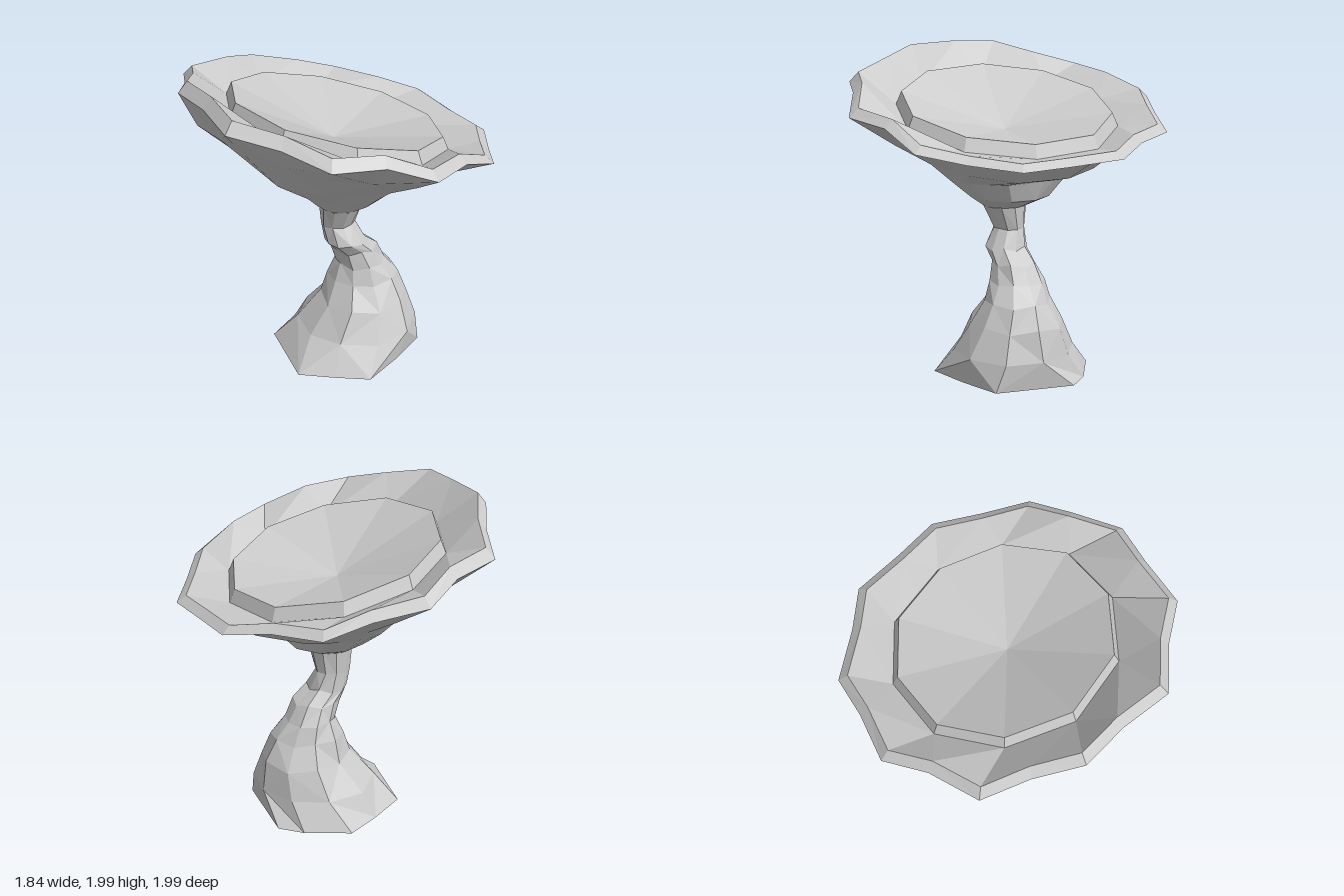
import * as THREE from 'three';

const V = (x, y, z) => new THREE.Vector3(x, y, z);

// Skin a list of equally long rings; each ring runs clockwise seen from above.
function loft(rings, name) {
  const n = rings[0].length, pos = [];
  const tri = (...p) => p.forEach(v => pos.push(v.x, v.y, v.z));
  for (let r = 0; r < rings.length - 1; r++) {
    const a = rings[r], b = rings[r + 1];
    for (let i = 0; i < n; i++) {
      const j = (i + 1) % n;
      if ((i + r) % 2) {
        tri(a[i], b[i], b[j]);
        tri(a[i], b[j], a[j]);
      } else {
        tri(a[i], b[i], a[j]);
        tri(a[j], b[i], b[j]);
      }
    }
  }
  const g = new THREE.BufferGeometry();
  g.setAttribute('position', new THREE.Float32BufferAttribute(pos, 3));
  g.computeVertexNormals();
  const mesh = new THREE.Mesh(g, new THREE.MeshStandardMaterial({
    color: 0xcccccc, flatShading: true, side: THREE.DoubleSide,
  }));
  mesh.name = name;
  return mesh;
}

// Ten corners become twenty by adding the middle of every edge.
const doubled = ring => ring.flatMap((p, i) => [p, p.clone().lerp(ring[(i + 1) % ring.length], 0.5)]);

// Ten-sided oval whose height changes with x by the given slope.
function oval(cx, rx, rz, y, slope, turn = 0, rough = 0, seed = 0, cz = 0) {
  return Array.from({ length: 10 }, (_, i) => {
    const t = turn + i * Math.PI / 5;
    const k = 1 + rough * Math.sin(i * 5.1 + seed * 2.7);
    const x = cx + Math.sin(t) * rx * k;
    return V(x, y + slope * x + rough * 0.25 * Math.sin(i * 3.3 + seed), cz - Math.cos(t) * rz * k);
  });
}

// Wavy outer edge of the dish
const RIM = [
  [-0.06, 1.66, -1.0], [0.24, 1.6, -0.9], [0.51, 1.52, -0.84], [0.7, 1.5, -0.57], [0.89, 1.45, -0.36],
  [0.9, 1.43, -0.03], [0.92, 1.42, 0.26], [0.75, 1.45, 0.52], [0.59, 1.5, 0.77], [0.32, 1.61, 0.86],
  [0.03, 1.64, 0.99], [-0.24, 1.75, 0.89], [-0.55, 1.78, 0.83], [-0.71, 1.85, 0.58], [-0.92, 1.9, 0.35],
  [-0.89, 1.92, 0.03], [-0.9, 1.91, -0.26], [-0.74, 1.84, -0.51], [-0.62, 1.77, -0.78], [-0.31, 1.74, -0.87],
].map(p => V(...p));

// Uneven shoulder under the rim
const SHOULDER = [
  [-0.02, 1.48, -0.72], [0.46, 1.46, -0.6], [0.77, 1.43, -0.24], [0.78, 1.42, 0.24], [0.46, 1.48, 0.62],
  [0.08, 1.47, 0.73], [-0.47, 1.63, 0.63], [-0.76, 1.7, 0.26], [-0.82, 1.71, -0.2], [-0.49, 1.61, -0.6],
].map(p => V(...p));

// Corners of the raised basin ring (x, z)
const LIP = [
  [-0.14, -0.68], [0.27, -0.63], [0.58, -0.35], [0.66, 0.07], [0.5, 0.45],
  [0.15, 0.67], [-0.25, 0.62], [-0.57, 0.34], [-0.66, -0.09], [-0.49, -0.47],
];

// Foot outline on the ground (x, z)
const FOOT = [
  [0.14, -0.5], [0.4, -0.36], [0.52, -0.24], [0.475, 0.25], [0.22, 0.37],
  [-0.04, 0.465], [-0.22, 0.33], [-0.4, 0.18], [-0.31, -0.29], [-0.08, -0.41],
];

// Stem levels: y, x min, x max, z min, z max, roughness
const STEM = [
  [0.17, -0.24, 0.535, -0.37, 0.38, 0.03],
  [0.35, -0.09, 0.49, -0.27, 0.3, 0.05],
  [0.49, -0.03, 0.42, -0.21, 0.21, 0.05],
  [0.6, 0.015, 0.34, -0.17, 0.16, 0.05],
  [0.71, -0.01, 0.27, -0.14, 0.14, 0.05],
  [0.79, -0.085, 0.18, -0.11, 0.14, 0.05],
  [0.905, -0.09, 0.13, -0.11, 0.08, 0.03],
  [1.05, -0.115, 0.155, -0.12, 0.15, 0],
];

export function createModel() {
  const group = new THREE.Group();

  // Dish: underside, wavy rim, sloping trough, step up to the basin ring, dished basin
  const inner = RIM.map(p => V(p.x * 0.94, p.y + 0.055 - 0.015 * p.x, p.z * 0.94));
  const trough = LIP.map(([x, z]) => V(x, 1.605 - 0.25 * x, z));
  const lip = trough.map(p => V(p.x * 0.95, p.y + 0.08, p.z * 0.95));
  const centre = Array.from({ length: 20 }, () => V(-0.02, 1.51, 0));
  group.add(loft([
    doubled(oval(0.02, 0.135, 0.135, 1.05, 0, 0, 0, 0, 0.015)),
    doubled(oval(0.055, 0.255, 0.25, 1.12, 0)),
    doubled(oval(0.035, 0.32, 0.37, 1.22, 0.05, 0, 0.02, 2)),
    doubled(oval(0.05, 0.57, 0.5, 1.345, -0.08, 0, 0.02, 1)),
    doubled(SHOULDER),
    RIM,
    inner,
    doubled(trough),
    doubled(lip),
    centre,
  ], 'dish'));

  // Stem: rough, leaning rock column that flares to an open foot
  const rings = STEM.map(([y, x0, x1, z0, z1, rough], i) =>
    oval((x0 + x1) / 2, (x1 - x0) / 2, (z1 - z0) / 2, y, 0, 0.2, rough, i, (z0 + z1) / 2));
  group.add(loft([FOOT.map(([x, z]) => V(x, 0, z)), ...rings], 'stem'));

  return group;
}
